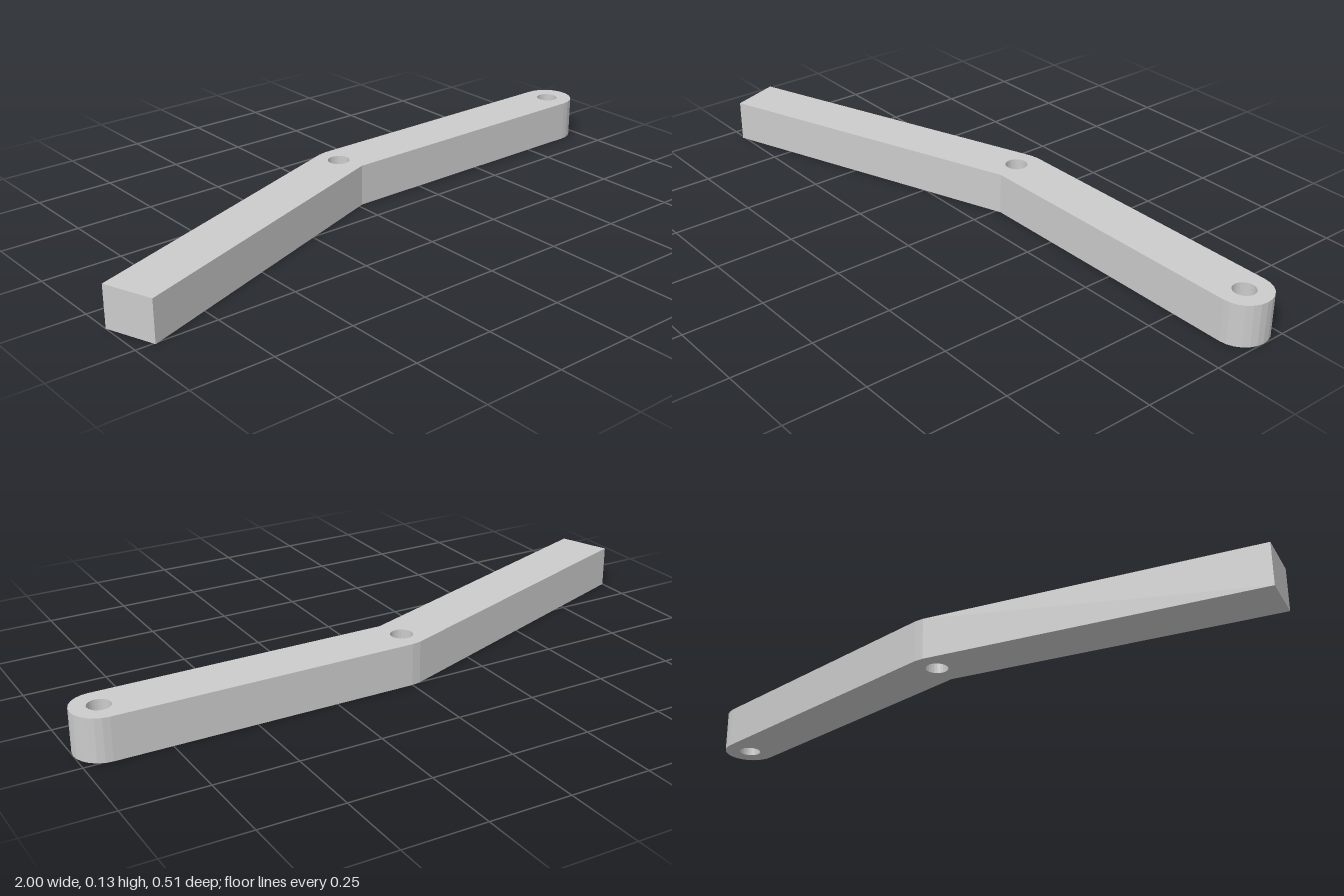
import * as THREE from 'three';

// Points on an arc from angle a0 to a1
function arcPoints(x, y, r, a0, a1, count, steps) {
  return Array.from({ length: count }, (_, i) => {
    const t = a0 + (a1 - a0) * i / steps;
    return new THREE.Vector2(x + r * Math.cos(t), y + r * Math.sin(t));
  });
}

// Plan coordinates are (x, -z); the plan is extruded upward into y.
export function createModel() {
  const group = new THREE.Group();
  const height = 0.13, r = 0.0815, midY = 0.1745, endX = 1 - r;
  const bend = THREE.MathUtils.degToRad(20);

  // Bent outline: straight arm with a round end, small facet at the bend,
  // angled arm with a square end
  const plan = new THREE.Shape([
    new THREE.Vector2(-0.944, -0.256),
    new THREE.Vector2(0.015, midY - r),
    ...arcPoints(endX, midY, r, -Math.PI / 2, Math.PI / 2, 13, 12),
    new THREE.Vector2(0, midY + r),
    new THREE.Vector2(-r * Math.sin(bend), midY + r * Math.cos(bend)),
    new THREE.Vector2(-1, -0.103),
  ]);

  // Pivot holes at the bend and at the round end
  for (const [x, y] of [[-0.01, 0.1765], [endX, midY]]) {
    plan.holes.push(new THREE.Path(arcPoints(x, y, 0.034, 0, -Math.PI * 2, 24, 24)));
  }

  const geometry = new THREE.ExtrudeGeometry(plan, { depth: height, bevelEnabled: false });
  geometry.rotateX(-Math.PI / 2);
  const lever = new THREE.Mesh(
    geometry,
    new THREE.MeshStandardMaterial({ color: 0xcccccc, flatShading: true })
  );
  lever.name = 'bentLeverArm';
  group.add(lever);
  return group;
}
